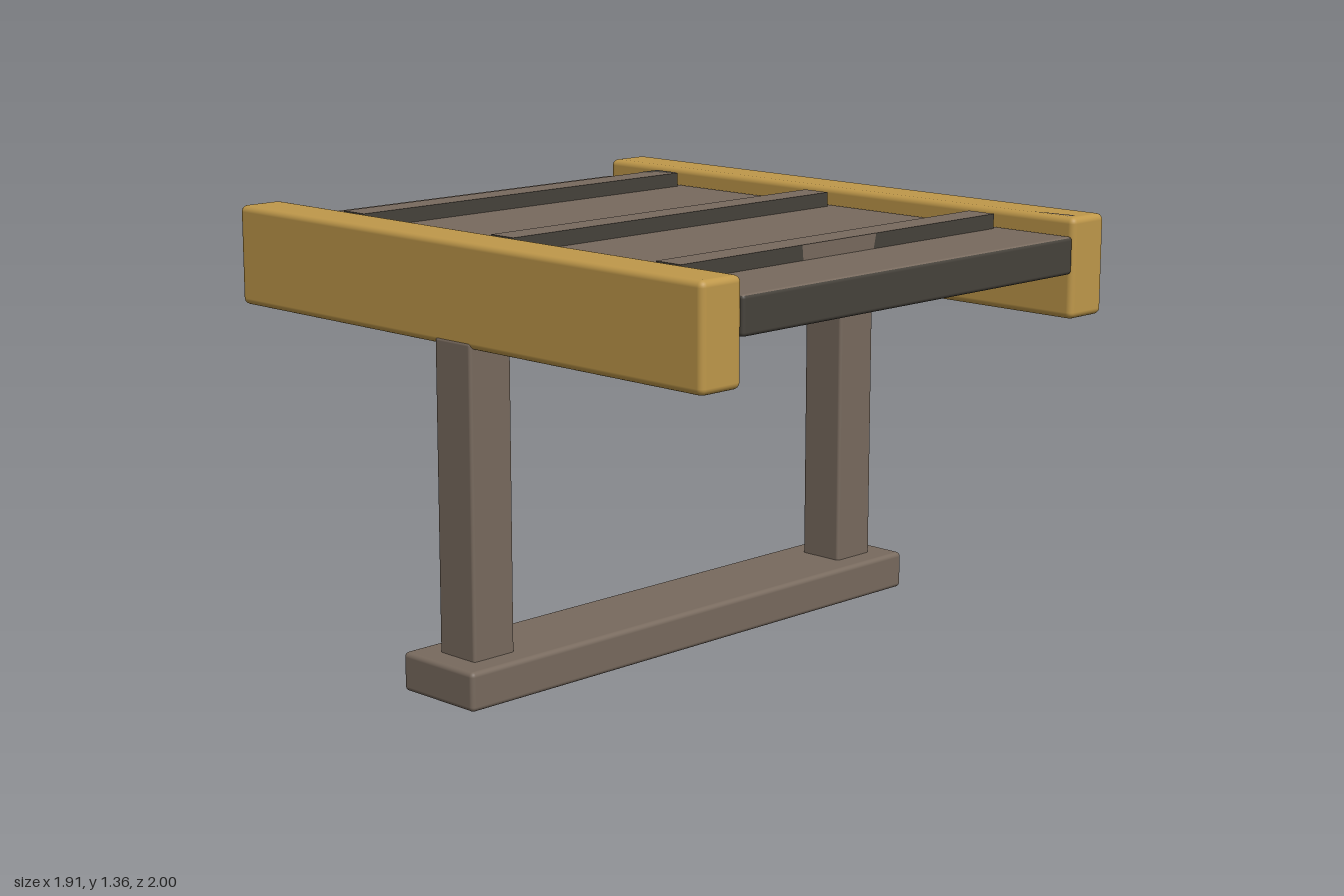
import * as THREE from 'three';
import { RoundedBoxGeometry } from 'three/addons/geometries/RoundedBoxGeometry.js';

function material(name, color) {
  const m = new THREE.MeshStandardMaterial({ color });
  m.name = name;
  return m;
}

export function createModel() {
  const model = new THREE.Group();
  model.name = 'bridgeSegment';
  const wood = material('weatheredWood', 0x786a5e);
  const dark = material('darkWood', 0x46423b);
  const gold = material('goldenWood', 0xbf984a);
  // Brown on the upper face, dark on every other face
  const topped = [dark, dark, wood, dark, dark, dark];

  function add(name, geometry, mat, x, y, z) {
    const mesh = new THREE.Mesh(geometry, mat);
    mesh.name = name;
    mesh.position.set(x, y, z);
    model.add(mesh);
    return mesh;
  }
  const rounded = (w, h, d, r) => new RoundedBoxGeometry(w, h, d, 3, r);

  // Crossbeam the two posts stand on
  add('baseBeam', rounded(1.91, 0.12, 0.31, 0.015), wood, 0, 0.06, 0);

  // Posts and side rails, mirrored
  for (const [side, s] of [['left', 1], ['right', -1]]) {
    add(side + 'Post', rounded(0.158, 0.97, 0.155, 0.01), wood, s * 0.799, 0.585, 0);
    add(side + 'Rail', rounded(0.155, 0.31, 2, 0.02), gold, s * 0.798, 1.205, 0);
  }

  // Deck
  add('deck', rounded(1.44, 0.115, 2, 0.012), topped, 0, 1.247, 0);

  // Raised cross slats
  for (const z of [-0.68, 0, 0.68]) {
    add('slat', new THREE.BoxGeometry(1.36, 0.06, 0.096), topped, 0, 1.32, z);
  }

  // Worn patches: slat front, slat top and outer face of the left rail
  function patch(name, points, mat) {
    const shape = new THREE.Shape(points.map(([x, y]) => new THREE.Vector2(x, y)));
    return add(name, new THREE.ShapeGeometry(shape), mat, 0, 0, 0);
  }
  patch('slatFrontWear', [[-0.185, 1.305], [0.12, 1.305], [0.13, 1.35], [-0.19, 1.35]], wood)
    .position.z = 0.7295;
  const topWear = patch('slatTopWear', [[0.59, 0.727], [0.677, 0.727], [0.677, 0.635], [0.65, 0.64], [0.64, 0.68]], dark);
  topWear.rotation.x = -Math.PI / 2;
  topWear.position.y = 1.3515;
  const railWear = patch('railSideWear', [[-0.64, 1.345], [-0.62, 1.33], [-0.58, 1.327], [-0.55, 1.345]], wood);
  railWear.rotation.y = Math.PI / 2;
  railWear.position.x = 0.877;
  const railTop = patch('railTopWear', [[0.738, -0.83], [0.745, -0.97], [0.765, -0.975], [0.75, -0.87]].reverse(), wood);
  railTop.rotation.x = -Math.PI / 2;
  railTop.position.y = 1.3615;

  return model;
}
